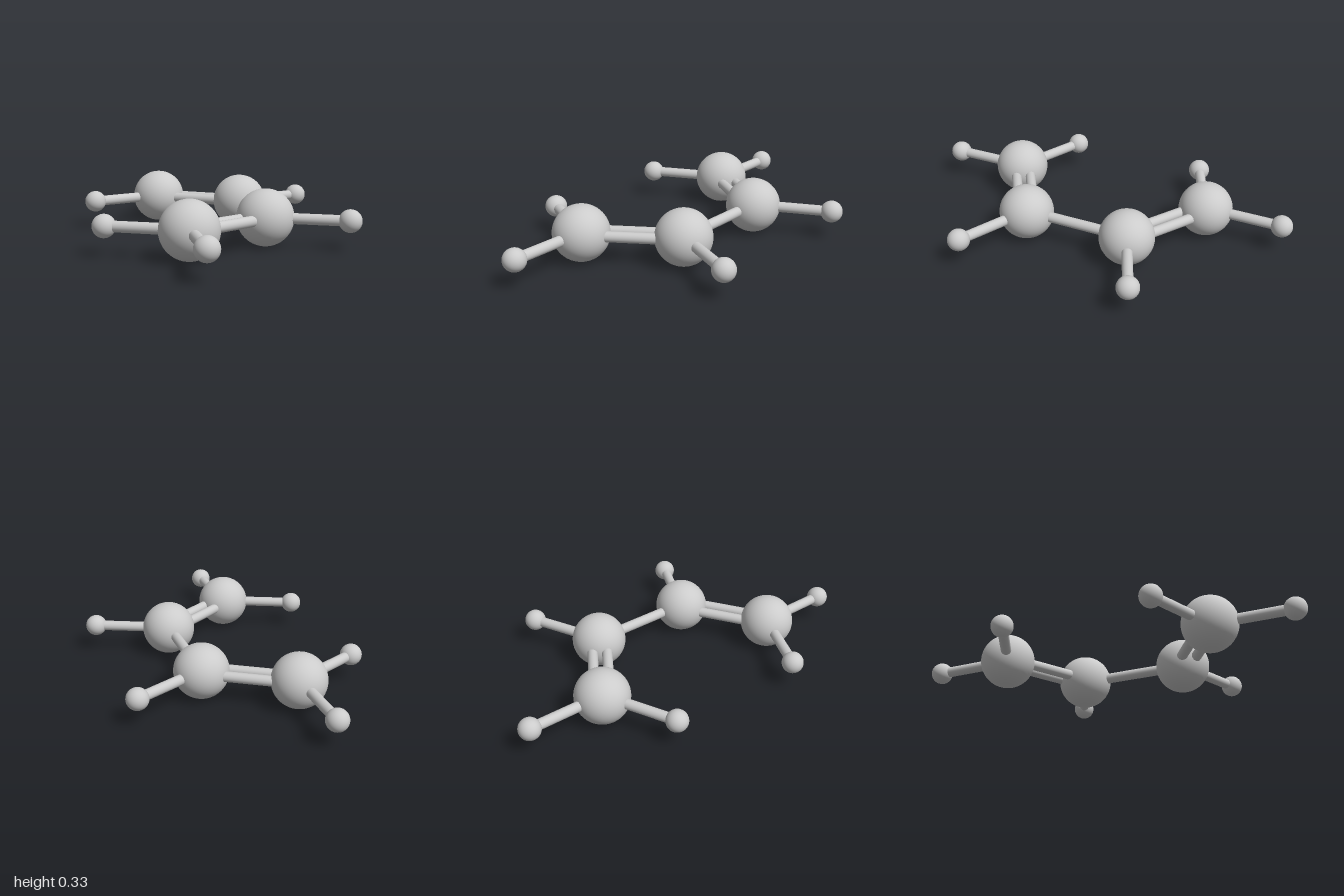
import * as THREE from 'three';

const Y = 0.163, BIG = 0.163, SMALL = 0.065, ROD = 0.031, GAP = 0.0435;

export function createModel() {
  const group = new THREE.Group();
  const material = new THREE.MeshStandardMaterial({ color: 0xcccccc });
  const at = ([x, z]) => new THREE.Vector3(x, Y, z);

  // Ball centres as [x, z]; all lie in one horizontal plane
  const large = [[-0.573, 0.53], [0, 0.53], [0.353, -0.023], [0.117, -0.54]].map(at);
  // Small balls: [x, z, index of the large ball they hang from]
  const small = [
    [-0.825, 0.133, 0], [-0.825, 0.93, 0], [0.252, 0.93, 1],
    [0.821, 0.043, 2], [-0.348, -0.607, 3], [0.372, -0.935, 3],
  ];

  function addBall(name, position, radius) {
    const ball = new THREE.Mesh(new THREE.SphereGeometry(radius, 48, 32), material);
    ball.name = name;
    ball.position.copy(position);
    group.add(ball);
  }

  // Rod between two points, shifted sideways in the horizontal plane
  function addRod(name, a, b, shift = 0) {
    const dir = b.clone().sub(a);
    const rod = new THREE.Mesh(new THREE.CylinderGeometry(ROD, ROD, dir.length(), 24), material);
    dir.normalize();
    rod.name = name;
    rod.position.copy(a).add(b).multiplyScalar(0.5);
    rod.position.addScaledVector(new THREE.Vector3(-dir.z, 0, dir.x), shift);
    rod.quaternion.setFromUnitVectors(new THREE.Vector3(0, 1, 0), dir);
    group.add(rod);
  }

  // Chain of large balls: double, single, double rods
  large.forEach((p) => addBall('largeBall', p, BIG));
  addRod('singleRod', large[1], large[2]);
  for (const i of [0, 2]) {
    for (const side of [-1, 1]) addRod('doubleRod', large[i], large[i + 1], side * GAP);
  }

  // Small outer balls and their rods
  for (const [x, z, parent] of small) {
    const p = at([x, z]);
    addBall('smallBall', p, SMALL);
    addRod('outerRod', large[parent], p);
  }
  return group;
}
